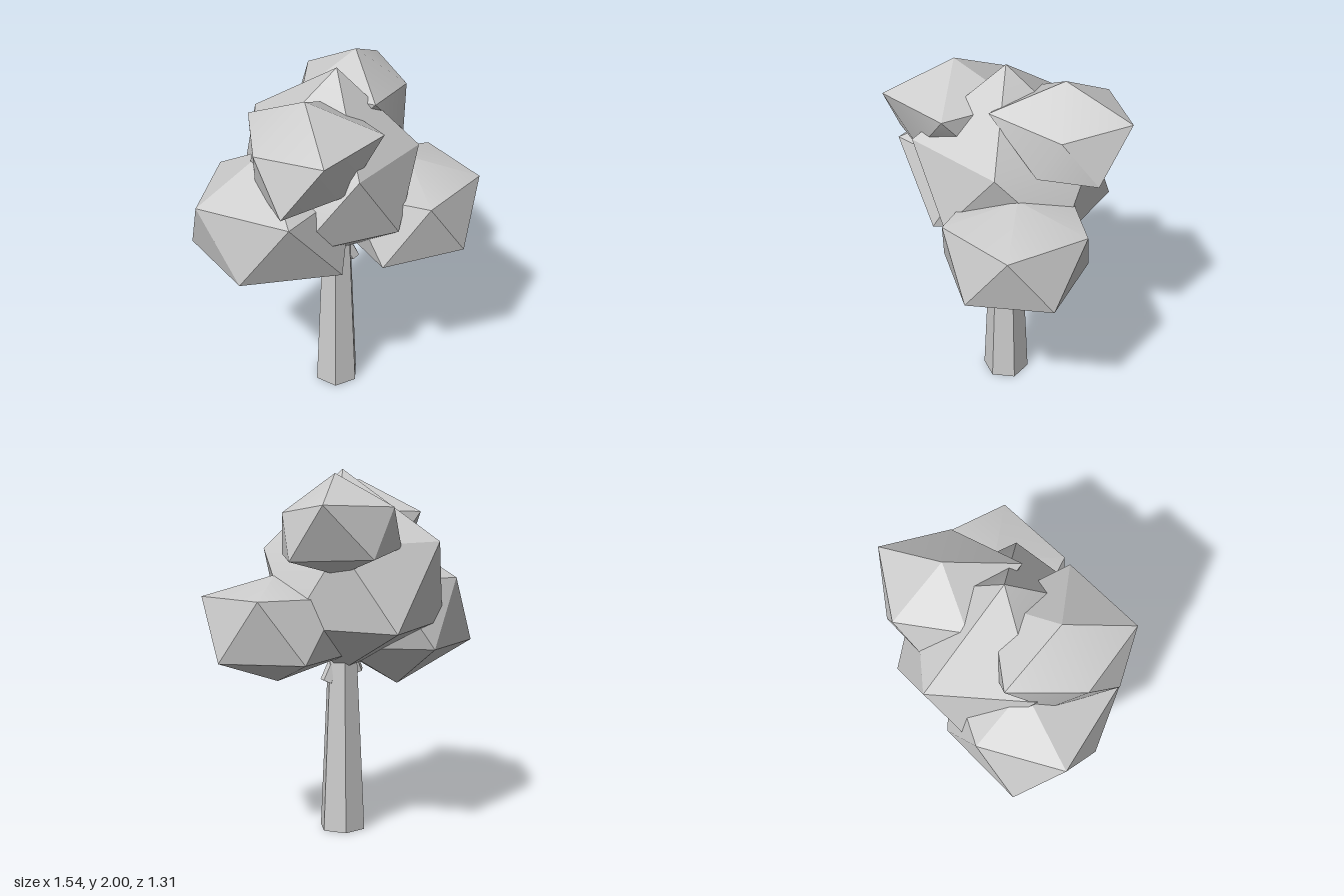
import * as THREE from 'three';
import { toCreasedNormals } from 'three/addons/utils/BufferGeometryUtils.js';

const CREASE = 0.5;

// Five points around a horizontal ellipse [cx, y, cz, rx, rz]; "moved" replaces single corners
function ringPoints([cx, y, cz, rx, rz], turn, moved = {}) {
  return Array.from({ length: 5 }, (_, i) => {
    const a = ((i + turn) * Math.PI * 2) / 5;
    return moved[i] ?? [cx + rx * Math.cos(a), y, cz + rz * Math.sin(a)];
  });
}

// Twenty-sided leaf clump: a top pole, two staggered rings of five, a bottom pole
function clumpGeometry({ top, upper, lower, bottom, upperMoved, lowerMoved }) {
  const U = ringPoints(upper, 0, upperMoved);
  const L = ringPoints(lower, 0.5, lowerMoved);
  const pos = [];
  for (let i = 0; i < 5; i++) {
    const j = (i + 1) % 5;
    pos.push(...top, ...U[j], ...U[i]);
    pos.push(...U[i], ...U[j], ...L[i]);
    pos.push(...L[j], ...L[i], ...U[j]);
    pos.push(...bottom, ...L[i], ...L[j]);
  }
  const geo = new THREE.BufferGeometry();
  geo.setAttribute('position', new THREE.Float32BufferAttribute(pos, 3));
  return toCreasedNormals(geo, CREASE);
}

// Straight tapered limb between two points
function limbGeometry(from, to, r0, r1, sides) {
  const a = new THREE.Vector3(...from);
  const b = new THREE.Vector3(...to);
  const dir = b.clone().sub(a);
  const geo = new THREE.CylinderGeometry(r1, r0, dir.length(), sides);
  geo.applyQuaternion(new THREE.Quaternion().setFromUnitVectors(new THREE.Vector3(0, 1, 0), dir.normalize()));
  geo.translate(...a.add(b).multiplyScalar(0.5).toArray());
  return toCreasedNormals(geo, CREASE);
}

// Leaf clumps with their slightly uneven corners
const CLUMPS = {
  centreLeaves: {
    top: [0, 2, 0], bottom: [0, 0.9, 0],
    upper: [-0.07, 1.6, 0, 0.5, 0.49],
    upperMoved: { 0: [0.43, 1.575, 0], 1: [0.135, 1.61, 0.47], 2: [-0.42, 1.6, 0.22], 3: [-0.465, 1.62, -0.33] },
    lower: [-0.08, 1.18, -0.02, 0.5, 0.53],
    lowerMoved: { 0: [0.337, 1.21, 0.28], 1: [-0.18, 1.18, 0.47], 2: [-0.54, 1.18, -0.1], 3: [-0.2, 1.16, -0.55] },
  },
  lowerRightLeaves: {
    top: [-0.36, 1.6, 0.15], bottom: [-0.34, 0.79, 0.155],
    upper: [-0.34, 1.41, 0.17, 0.43, 0.45],
    upperMoved: { 1: [-0.2, 1.42, 0.625], 2: [-0.69, 1.4, 0.41], 3: [-0.63, 1.41, -0.05] },
    lower: [-0.33, 1.035, 0.16, 0.445, 0.42],
    lowerMoved: { 0: [0.05, 1.01, 0.4] },
  },
  lowerLeftLeaves: {
    top: [0.38, 1.44, -0.11], bottom: [0.37, 0.865, -0.11],
    upper: [0.38, 1.33, -0.11, 0.39, 0.385],
    lower: [0.38, 1.0, -0.11, 0.39, 0.385],
    lowerMoved: { 1: [0.26, 0.99, 0.3] },
  },
  upperFrontLeaves: {
    top: [-0.14, 1.95, 0.29], bottom: [-0.12, 1.38, 0.27],
    upper: [-0.13, 1.78, 0.29, 0.38, 0.37],
    upperMoved: { 1: [-0.025, 1.78, 0.652], 2: [-0.38, 1.735, 0.46], 3: [-0.45, 1.77, 0.065] },
    lower: [-0.13, 1.47, 0.28, 0.27, 0.34],
    lowerMoved: { 0: [0.07, 1.52, 0.45], 1: [-0.24, 1.475, 0.62] },
  },
  upperBackLeaves: {
    top: [0.085, 1.97, -0.31], bottom: [0.08, 1.455, -0.42],
    upper: [0.08, 1.81, -0.3, 0.29, 0.37],
    upperMoved: { 0: [0.36, 1.77, -0.32], 1: [0.2, 1.825, 0.06], 2: [-0.19, 1.8, -0.15], 3: [-0.185, 1.8, -0.515], 4: [0.195, 1.81, -0.655] },
    lower: [0.06, 1.54, -0.37, 0.32, 0.28],
    lowerMoved: { 0: [0.35, 1.555, -0.2], 2: [-0.25, 1.59, -0.38], 3: [-0.07, 1.54, -0.59], 4: [0.345, 1.53, -0.51] },
  },
};

export function createModel() {
  const group = new THREE.Group();
  group.name = 'tree';
  const grey = new THREE.MeshStandardMaterial({ color: 0xcccccc });
  grey.name = 'light grey';

  const add = (name, geo) => {
    const mesh = new THREE.Mesh(geo, grey);
    mesh.name = name;
    group.add(mesh);
  };

  // Six-sided trunk running up into the crown
  add('trunk', limbGeometry([0, 0, 0], [0, 1.1, 0], 0.132, 0.08, 6));

  // Short branch stubs just below the leaves
  add('rightBranch', limbGeometry([-0.09, 0.885, 0.045], [-0.03, 1.04, 0.02], 0.037, 0.037, 5));
  add('leftBranch', limbGeometry([0.093, 0.84, -0.03], [0.02, 1.0, -0.01], 0.037, 0.037, 5));

  for (const [name, clump] of Object.entries(CLUMPS)) add(name, clumpGeometry(clump));

  return group;
}
